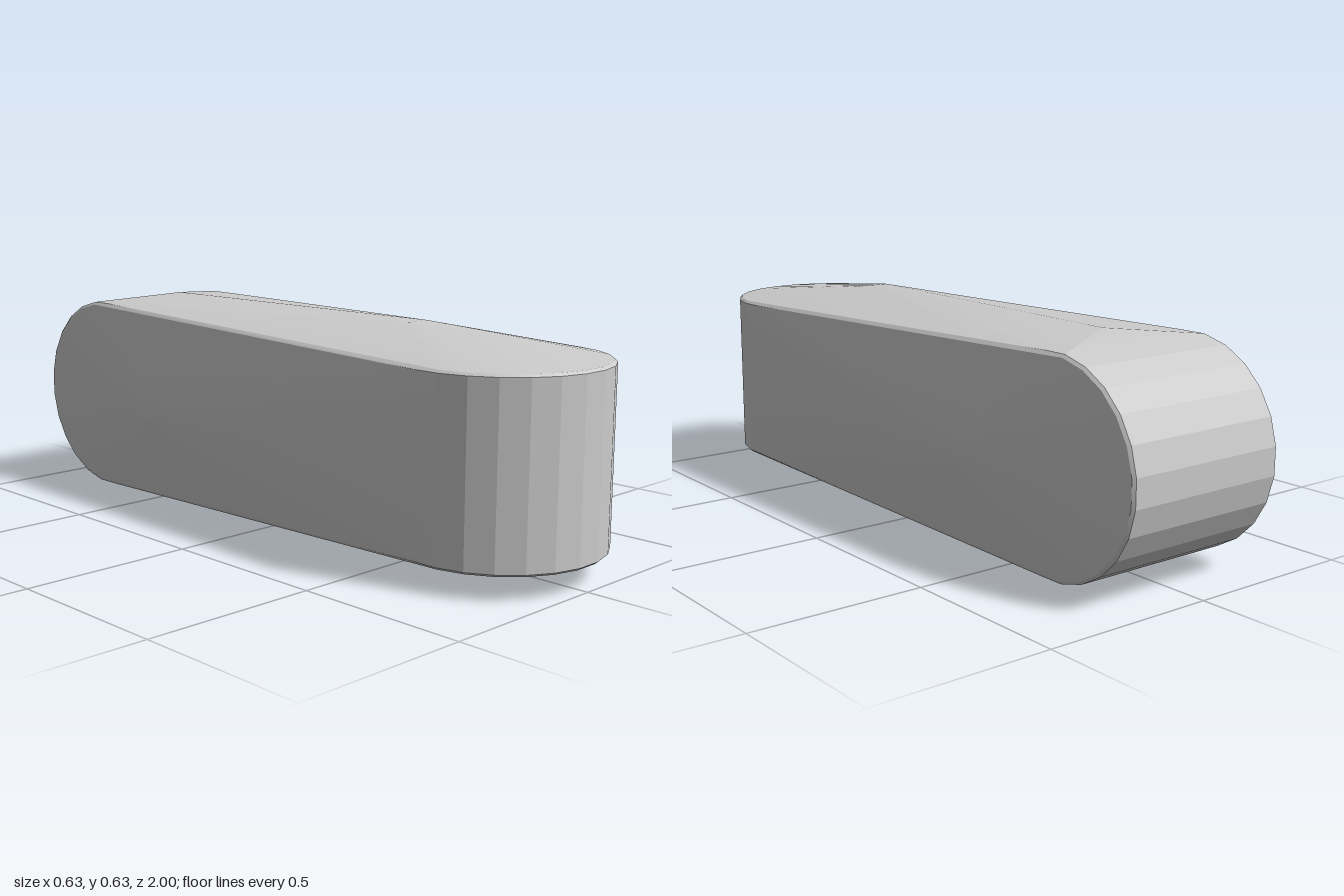
import * as THREE from 'three';
import { ConvexGeometry } from 'three/addons/geometries/ConvexGeometry.js';
import { toCreasedNormals } from 'three/addons/utils/BufferGeometryUtils.js';

const MID = 0.316;    // height of the long axis
const RADIUS = 0.295; // radius of both rounded ends
const END = 0.7075;   // distance of each end's axis from the centre
const SIDES = 24;

// Rims of a bevelled cylinder: calls place(u, v, w), w running along its axis
function endRims(place) {
  const points = [];
  for (const [r, w] of [[RADIUS, 0.245], [RADIUS - 0.008, 0.252]]) {
    for (let i = 0; i < SIDES; i++) {
      const a = ((i + 0.5) / SIDES) * Math.PI * 2;
      for (const s of [-1, 1]) points.push(place(r * Math.cos(a), r * Math.sin(a), s * w));
    }
  }
  return points;
}

export function createModel() {
  const group = new THREE.Group();
  group.name = 'twistedLink';

  const points = [
    // front end stands upright, back end lies across
    ...endRims((u, v, w) => new THREE.Vector3(u, MID + w, END + v)),
    ...endRims((u, v, w) => new THREE.Vector3(w, MID + u, -END + v)),
  ];

  // shallow crowns on the top, bottom and both sides
  for (const s of [-1, 1]) {
    for (const t of [-0.035, 0.035]) {
      points.push(new THREE.Vector3(t, MID + s * 0.316, 0.42));
      points.push(new THREE.Vector3(s * 0.315, MID + t, -0.4));
    }
    points.push(new THREE.Vector3(0, MID + s * 0.316, -0.62));
    points.push(new THREE.Vector3(s * 0.315, MID, 0.67));
  }

  // taut skin over both ends and the crowns
  const body = new THREE.Mesh(
    toCreasedNormals(new ConvexGeometry(points), 0.2),
    new THREE.MeshStandardMaterial({ color: 0xcccccc })
  );
  body.name = 'linkBody';
  group.add(body);
  return group;
}
